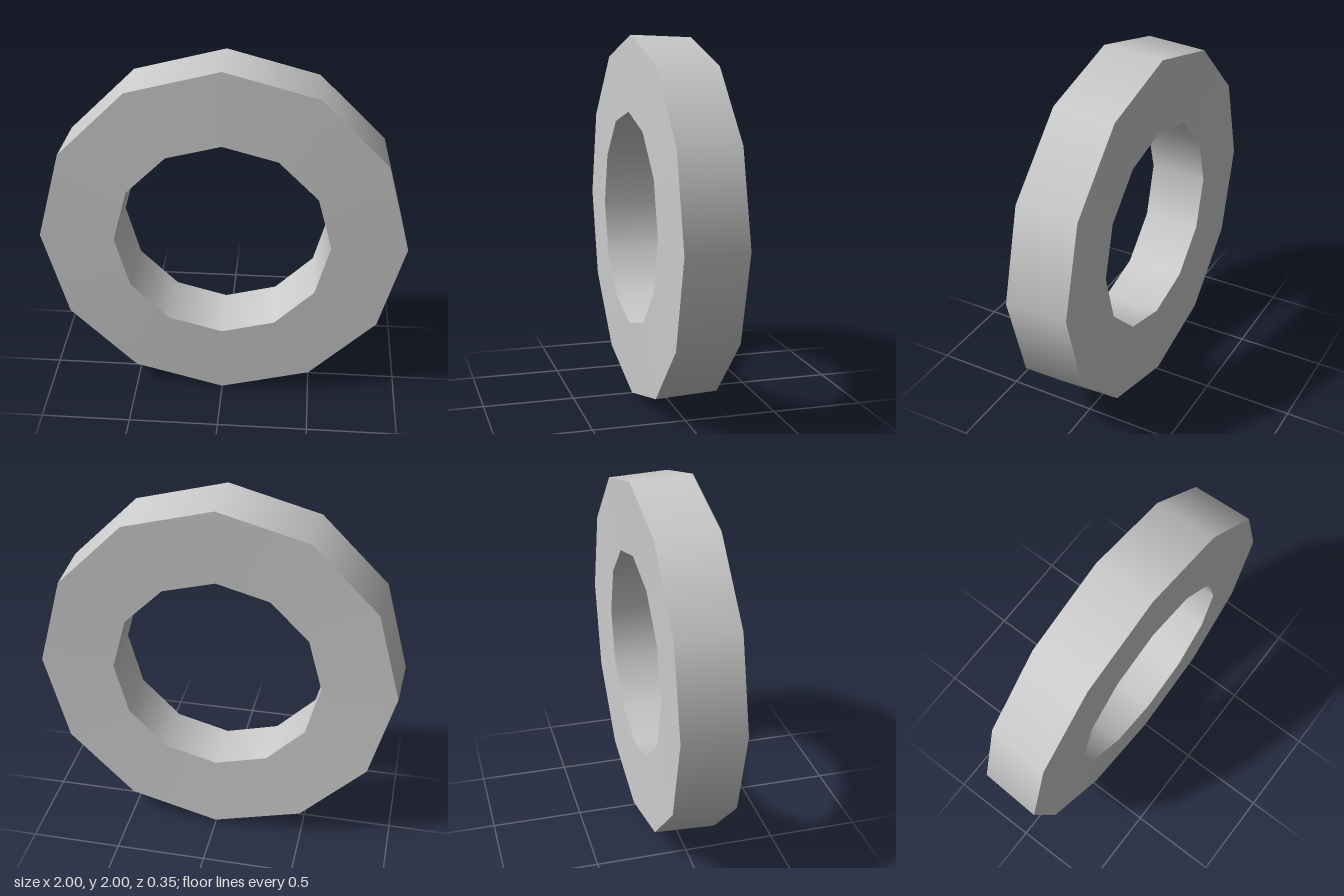
import * as THREE from 'three';

export function createModel() {
  const group = new THREE.Group();
  group.name = 'ringModel';

  // Slightly tilted rectangular section: [radius, depth], from back to front
  const outerBack = [0.985, -0.175];
  const outerFront = [1, 0.162];
  const innerFront = [0.59, 0.175];
  const innerBack = [0.576, -0.162];

  // Each corner is doubled so the edges between the four walls stay sharp
  const profile = [
    outerBack, outerFront,
    outerFront, innerFront,
    innerFront, innerBack,
    innerBack, outerBack,
  ].map(([r, z]) => new THREE.Vector2(r, z));

  // Twelve-sided ring, stood upright with its axis along z
  const geometry = new THREE.LatheGeometry(profile, 12);
  geometry.rotateX(Math.PI / 2);

  const ring = new THREE.Mesh(geometry, new THREE.MeshStandardMaterial({ color: 0xcccccc }));
  ring.name = 'ring';
  ring.position.y = 1;
  group.add(ring);

  return group;
}
